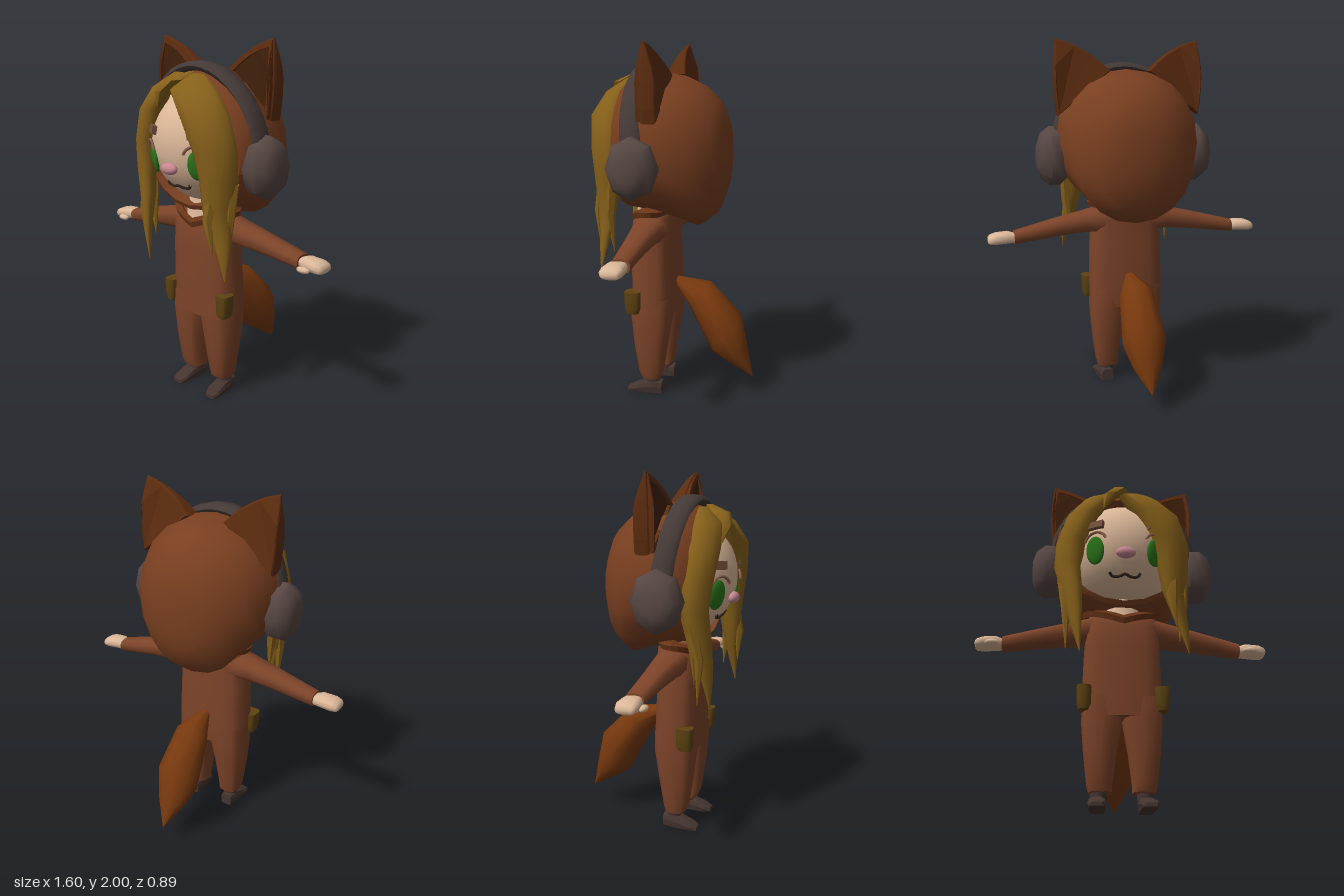
import * as THREE from 'three';
import { toCreasedNormals } from 'three/addons/utils/BufferGeometryUtils.js';

const mat = (c) => new THREE.MeshStandardMaterial({ color: c, side: THREE.DoubleSide });
const M = {
  suit: mat(0x7d4429), hood: mat(0x793f20), trim: mat(0x693417), tail: mat(0x78390e),
  ear: mat(0x5c2c0f), earInner: mat(0x3f1f0a), hair: mat(0x86601a), muff: mat(0x574743),
  band: mat(0x443936), shoe: mat(0x44342f), skin: mat(0xdcb899), pocket: mat(0x5e4312),
  green: mat(0x2b7519), lid: mat(0x8a5f4c), brow: mat(0x75503c), nose: mat(0xc88792), mouth: mat(0x33241f),
};

// Skin through rings [centre, u, v]; u x v points along the loft, e < 1 squares the section
function loft(rings, n = 12, e = 1, caps = true, crease = 0.9) {
  const pos = [], idx = [];
  const pw = (t) => Math.sign(t) * Math.abs(t) ** e;
  for (const [c, u, v] of rings) {
    for (let i = 0; i < n; i++) {
      const a = (i / n) * Math.PI * 2, cs = pw(Math.cos(a)), sn = pw(Math.sin(a));
      for (let k = 0; k < 3; k++) pos.push(c[k] + u[k] * cs + v[k] * sn);
    }
  }
  const last = rings.length - 1;
  for (let r = 0; r < last; r++) {
    for (let i = 0; i < n; i++) {
      const a = r * n + i, b = r * n + ((i + 1) % n);
      idx.push(a, b, b + n, a, b + n, a + n);
    }
  }
  if (caps) {
    const s = pos.length / 3;
    pos.push(...rings[0][0], ...rings[last][0]);
    for (let i = 0; i < n; i++) {
      const j = (i + 1) % n;
      idx.push(s, j, i, s + 1, last * n + i, last * n + j);
    }
  }
  const g = new THREE.BufferGeometry();
  g.setAttribute('position', new THREE.Float32BufferAttribute(pos, 3));
  g.setIndex(idx);
  return toCreasedNormals(g, crease);
}

// Move every vertex by a rule
function warp(g, rule) {
  const p = g.attributes.position, v = new THREE.Vector3();
  for (let i = 0; i < p.count; i++) {
    rule(v.fromBufferAttribute(p, i));
    p.setXYZ(i, v.x, v.y, v.z);
  }
  g.computeVertexNormals();
  return g;
}

// Mirrored copy across x with winding restored
function mirror(geo) {
  const g = geo.clone().scale(-1, 1, 1);
  const src = g.index ? Array.from(g.index.array) : Array.from({ length: g.attributes.position.count }, (_, i) => i);
  for (let i = 0; i < src.length; i += 3) [src[i], src[i + 1]] = [src[i + 1], src[i]];
  g.setIndex(src);
  return g;
}

const ball = (x, y, z, rx, ry, rz, w = 16, h = 12) => new THREE.SphereGeometry(1, w, h).scale(rx, ry, rz).translate(x, y, z);
// Upright ring from x and z extents
const level = ([y, x0, x1, z0, z1]) => [[(x0 + x1) / 2, y, (z0 + z1) / 2], [0, 0, (z1 - z0) / 2], [(x1 - x0) / 2, 0, 0]];
// Hair section between an inner and an outer edge, bulging by t
const lockRing = ([y, xi, zi, xo, zo, t]) => {
  const ux = (xo - xi) / 2, uz = (zo - zi) / 2, l = Math.hypot(ux, uz);
  return [[(xi + xo) / 2, y, (zi + zo) / 2], [ux, 0, uz], [(-uz / l) * t, 0, (ux / l) * t]];
};
// Thin pointed strand through [x, y, z, radius]
const strand = (pts) => loft(pts.map(([x, y, z, r]) => [[x, y, z], [r, 0, 0], [0, 0, r * 0.9]]), 6);
const faceZ = (x, y) => 0.08 + 0.33 * Math.sqrt(Math.max(0, 1 - (x / 0.33) ** 2 - ((y - 1.45) / 0.335) ** 2));

export function createModel() {
  const root = new THREE.Group();
  const add = (name, g, m) => {
    const mesh = new THREE.Mesh(g, m);
    mesh.name = name;
    root.add(mesh);
  };
  const pair = (name, g, m) => { add(name + 'Left', g, m); add(name + 'Right', mirror(g), m); };

  // Jumpsuit: torso, legs and arms
  add('torso', loft([
    [0.47, -0.213, 0.213, 0, 0.23], [0.6, -0.215, 0.215, -0.01, 0.235], [0.85, -0.208, 0.208, 0, 0.24],
    [0.98, -0.2, 0.2, 0, 0.24], [1.05, -0.195, 0.195, 0, 0.22], [1.09, -0.16, 0.16, 0.01, 0.19]].map(level), 16, 0.6), M.suit);
  pair('leg', loft([
    [0.09, 0.05, 0.172, 0.06, 0.175], [0.13, 0.05, 0.182, 0.05, 0.19], [0.3, 0.028, 0.202, 0.025, 0.215],
    [0.46, 0.001, 0.215, 0, 0.23], [0.58, 0.001, 0.212, 0, 0.23]].map(level), 12, 0.65), M.suit);
  const alongX = ([x, y, z, ry, rz]) => [[x, y, z], [0, ry, 0], [0, 0, rz]];
  pair('arm', loft([
    [0.13, 0.99, 0.11, 0.08, 0.1], [0.25, 0.978, 0.105, 0.063, 0.085], [0.4, 0.955, 0.1, 0.054, 0.068],
    [0.655, 0.908, 0.09, 0.038, 0.053]].map(alongX), 10, 0.75), M.suit);
  pair('hand', loft([
    [0.64, 0.905, 0.09, 0.025, 0.035], [0.69, 0.91, 0.095, 0.033, 0.055], [0.76, 0.905, 0.095, 0.032, 0.06],
    [0.79, 0.9, 0.095, 0.025, 0.052], [0.8, 0.898, 0.095, 0.014, 0.04]].map(alongX), 12, 0.7), M.skin);
  pair('thumb', ball(0.705, 0.89, 0.158, 0.042, 0.017, 0.022, 8, 6), M.skin);
  pair('pocket', loft([
    [0.5, 0.18, 0.232, 0.165, 0.235], [0.53, 0.167, 0.242, 0.152, 0.243], [0.63, 0.164, 0.246, 0.15, 0.246]].map(level), 12, 0.6), M.pocket);

  // Shoes with flat soles
  pair('shoe', warp(loft([[0.05, 0.035, 0.07], [0.1, 0.043, 0.082], [0.16, 0.046, 0.065], [0.22, 0.047, 0.038], [0.255, 0.03, 0.02]]
    .map(([z, rx, h]) => [[0.125 + (z - 0.1) * 0.06, h / 2, z], [rx, 0, 0], [0, h / 2, 0]]), 10, 0.7),
  (v) => { if (v.y < 0.015) v.y = 0; }), M.shoe);
  pair('ankle', new THREE.CylinderGeometry(0.045, 0.042, 0.08, 10).translate(0.12, 0.075, 0.11), M.shoe);

  // Bushy tail: upper and lower edge points with half width
  add('tail', loft([
    [0.68, 0, 0.63, 0, 0.03], [0.66, -0.2, 0.5, -0.09, 0.1], [0.48, -0.38, 0.25, -0.22, 0.125],
    [0.3, -0.42, 0.19, -0.32, 0.085], [0.115, -0.46, 0.112, -0.455, 0.004]]
    .map(([ty, tz, by, bz, r]) => [[0, (ty + by) / 2, (tz + bz) / 2], [r, 0, 0], [0, (by - ty) / 2, (bz - tz) / 2]]), 10), M.tail);

  // Hood, open at the front with a turned-in rim: [z, half width, bottom, top]
  add('hood', loft([
    [-0.302, 0.07, 1.3, 1.5], [-0.285, 0.17, 1.19, 1.6], [-0.24, 0.25, 1.07, 1.7], [-0.15, 0.34, 1.0, 1.78],
    [-0.05, 0.385, 1.035, 1.825], [0.05, 0.405, 1.06, 1.84], [0.15, 0.405, 1.08, 1.84], [0.25, 0.37, 1.09, 1.81],
    [0.265, 0.335, 1.115, 1.78], [0.15, 0.31, 1.13, 1.76]]
    .map(([z, rx, b, t]) => [[0, (b + t) / 2, z], [rx, 0, 0], [0, (t - b) / 2, 0]]), 20, 0.95), M.hood);

  // Collar dipping to a point at the chest
  const collar = [[1.1, 0.13, 0.1], [1.115, 0.17, 0.12], [1.09, 0.225, 0.135], [1.06, 0.215, 0.125]]
    .map(([y, rx, rz]) => [[0, y, 0.12], [rx, 0, 0], [0, 0, rz]]);
  add('collar', warp(loft(collar, 24, 1, false), (v) => {
    const f = Math.max(0, 1 - Math.abs(v.x) / 0.22) * (v.z > 0.12 ? 1 : 0);
    v.y -= 0.075 * f;
  }), M.trim);

  // Head and face
  add('head', ball(0, 1.45, 0.08, 0.33, 0.335, 0.33, 28, 20), M.skin);
  add('neck', new THREE.CylinderGeometry(0.09, 0.12, 0.16, 14).translate(0, 1.1, 0.125), M.skin);
  const onFace = (g, x, y, lift = 0) => {
    const z = faceZ(x, y);
    return g.rotateX(((1.45 - y) / 0.335) * 0.7).rotateY(Math.atan2(x, z - 0.08)).translate(x, y, z + lift);
  };
  pair('eye', onFace(ball(0, 0, 0, 0.055, 0.082, 0.018), 0.165, 1.37), M.green);
  pair('eyelid', onFace(new THREE.TorusGeometry(0.065, 0.008, 6, 14, Math.PI * 0.8).rotateZ(0.3), 0.165, 1.405, 0.012), M.lid);
  pair('eyebrow', onFace(new THREE.BoxGeometry(0.095, 0.045, 0.025).rotateZ(0.05), 0.165, 1.525, 0.008), M.brow);
  add('nose', ball(0, 1.337, faceZ(0, 1.337) + 0.01, 0.056, 0.032, 0.03), M.nose);
  const lips = [[-0.085, 1.25], [-0.07, 1.232], [-0.035, 1.228], [0, 1.238], [0.035, 1.228], [0.07, 1.232], [0.085, 1.25]]
    .map(([x, y]) => new THREE.Vector3(x, y, faceZ(x, y) + 0.004));
  add('mouth', new THREE.TubeGeometry(new THREE.CatmullRomCurve3(lips), 24, 0.008, 6), M.mouth);

  // Hair: two swept locks, a parting tuft and loose strands
  add('hairLockLeft', loft([
    [1.82, -0.03, 0.25, 0.1, 0.24, 0.015], [1.74, -0.03, 0.36, 0.22, 0.25, 0.07], [1.62, 0.07, 0.39, 0.3, 0.24, 0.11],
    [1.45, 0.15, 0.38, 0.345, 0.23, 0.1], [1.3, 0.19, 0.37, 0.345, 0.24, 0.075], [1.15, 0.21, 0.37, 0.315, 0.26, 0.05],
    [1.0, 0.255, 0.35, 0.335, 0.28, 0.03], [0.9, 0.295, 0.345, 0.34, 0.3, 0.018], [0.78, 0.333, 0.335, 0.337, 0.33, 0.002]].map(lockRing), 12), M.hair);
  add('hairLockRight', mirror(loft([
    [1.82, 0.04, 0.25, 0.12, 0.24, 0.015], [1.74, 0.08, 0.345, 0.24, 0.25, 0.05], [1.62, 0.15, 0.355, 0.32, 0.24, 0.075],
    [1.45, 0.22, 0.34, 0.37, 0.23, 0.07], [1.3, 0.25, 0.33, 0.38, 0.24, 0.055], [1.15, 0.24, 0.35, 0.335, 0.26, 0.045],
    [1.0, 0.235, 0.36, 0.305, 0.3, 0.03], [0.9, 0.235, 0.36, 0.275, 0.32, 0.018], [0.77, 0.236, 0.35, 0.24, 0.345, 0.002]].map(lockRing), 12)), M.hair);
  add('hairTuft', strand([[0.02, 1.83, 0.25, 0.02], [-0.03, 1.79, 0.33, 0.055], [-0.08, 1.73, 0.37, 0.045], [-0.12, 1.64, 0.365, 0.003]]), M.hair);
  const strands = [
    [[0.26, 1.3, 0.33, 0.04], [0.25, 1.1, 0.37, 0.03], [0.27, 0.92, 0.36, 0.002]],
    [[0.32, 1.28, 0.26, 0.04], [0.315, 1.08, 0.28, 0.03], [0.3, 0.88, 0.265, 0.002]],
    [[-0.33, 1.28, 0.26, 0.045], [-0.315, 1.05, 0.31, 0.028], [-0.31, 0.8, 0.3, 0.002]],
    [[-0.31, 1.28, 0.24, 0.04], [-0.28, 1.08, 0.27, 0.028], [-0.27, 0.9, 0.27, 0.002]]];
  strands.forEach((s, i) => add('hairStrand' + (i + 1), strand(s), M.hair));

  // Animal ears: solid back, raised rim and dark inner panel
  const earShape = (k) => {
    const cx = 0.325, cy = 1.83;
    const P = (x, y) => [cx + (x - cx) * k, cy + (y - cy) * k];
    const s = new THREE.Shape();
    s.moveTo(...P(0.4, 1.6));
    s.quadraticCurveTo(...P(0.43, 1.8), ...P(0.4, 1.99));
    s.quadraticCurveTo(...P(0.25, 1.96), ...P(0.12, 1.83));
    s.lineTo(...P(0.4, 1.6));
    return s;
  };
  const thin = (v) => { v.z = 0.055 + (v.z - 0.055) * Math.min(1, Math.max(0.15, (2.03 - v.y) / 0.2)); };
  const solid = (shape, depth, z, bevel) => warp(new THREE.ExtrudeGeometry(shape, {
    depth, curveSegments: 6, bevelEnabled: bevel > 0, bevelSize: bevel * 0.4, bevelThickness: bevel, bevelSegments: 2,
  }).translate(0, 0, z), thin);
  const rim = earShape(1);
  rim.holes.push(earShape(0.8));
  pair('earBack', solid(earShape(1), 0.04, 0.01, 0.022), M.ear);
  pair('earRim', solid(rim, 0.035, 0.06, 0), M.ear);
  pair('earInner', solid(earShape(0.82), 0.012, 0.065, 0), M.earInner);

  // Headphones
  const arc = [];
  for (let i = 0; i <= 20; i++) {
    const a = (i / 20) * Math.PI, c = Math.cos(a), s = Math.sin(a);
    arc.push([[0.4 * c, 1.4 + 0.455 * s, 0.12 + 0.045 * s], [0.027 * c, 0.027 * s, 0], [0, 0, -0.062]]);
  }
  add('headband', loft(arc, 8, 0.7), M.band);
  pair('earCup', loft([[0.33, 0.12, 0.1], [0.38, 0.165, 0.137], [0.44, 0.168, 0.14], [0.49, 0.13, 0.105], [0.51, 0.07, 0.06]]
    .map(([x, ry, rz]) => [[x, 1.36, 0.115], [0, ry, 0], [0, 0, rz]]), 8), M.muff);
  return root;
}
